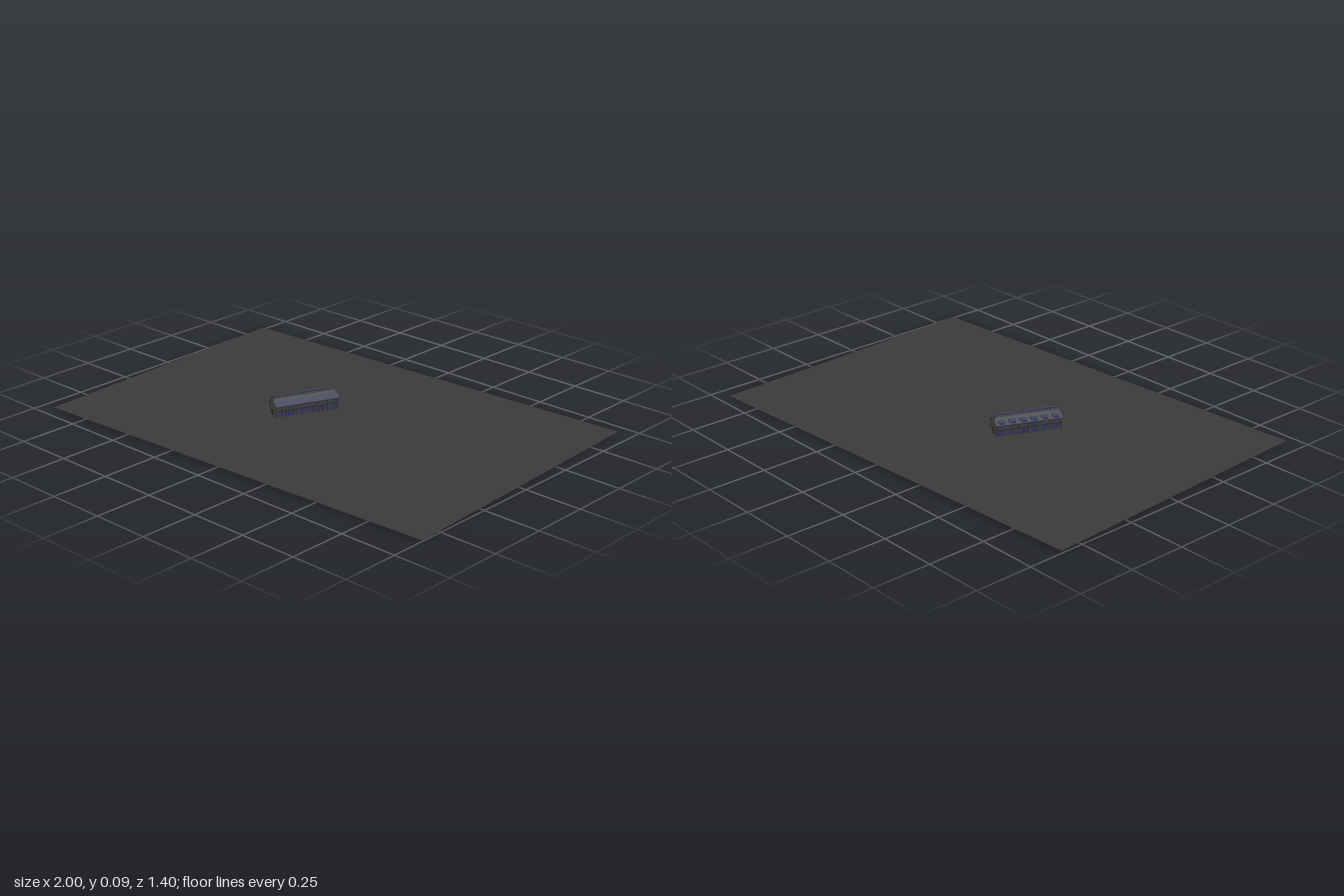
import * as THREE from 'three';

const mat = (name, color, side = THREE.FrontSide) => {
  const m = new THREE.MeshStandardMaterial({ color, side });
  m.name = name;
  return m;
};

export function createModel() {
  const asphalt = mat('asphalt', 0x3c3c3c, THREE.DoubleSide);
  const wall = mat('grey wall', 0x64675b);
  const darkWall = mat('dark wall', 0x3c3d3c);
  const slate = mat('slate roof', 0x42425a);
  const trim = mat('dark trim', 0x26262e);
  const glass = mat('window', 0x34345c);
  const floorGrey = mat('floor', 0xacacac);

  const model = new THREE.Group();
  model.name = 'hallOnGround';

  const add = (parent, name, geometry, material, x = 0, y = 0, z = 0) => {
    const mesh = new THREE.Mesh(geometry, material);
    mesh.name = name;
    mesh.position.set(x, y, z);
    parent.add(mesh);
    return mesh;
  };
  const box = (parent, name, size, material, x, y, z) =>
    add(parent, name, new THREE.BoxGeometry(...size), material, x, y, z);
  // Cross-section in x/y drawn out along z and centred
  const prism = (parent, name, points, length, material) => {
    const shape = new THREE.Shape(points.map(([x, y]) => new THREE.Vector2(x, y)));
    const g = new THREE.ExtrudeGeometry(shape, { depth: length, bevelEnabled: false });
    g.translate(0, 0, -length / 2);
    return add(parent, name, g, material);
  };

  // Ground: one thin sheet falling gently towards +x
  const sheet = new THREE.PlaneGeometry(1.933, 1.302, 8, 6);
  sheet.rotateX(-Math.PI / 2);
  const p = sheet.attributes.position;
  for (let i = 0; i < p.count; i++) p.setY(i, 0.006 - 0.003 * p.getX(i));
  sheet.computeVertexNormals();
  add(model, 'ground', sheet, asphalt).rotation.y = 0.052;

  // Long hall, turned on the ground
  const hall = new THREE.Group();
  hall.name = 'hall';
  hall.position.set(-0.153, 0, 0.005);
  hall.rotation.y = -0.42;
  model.add(hall);
  const L = 0.276;

  prism(hall, 'body', [[-0.038, 0.001], [0.038, 0.001], [0.038, 0.054],
    [0.013, 0.068], [-0.013, 0.068], [-0.038, 0.054]], L, [wall, darkWall]);
  box(hall, 'floor', [0.076, 0.002, L], floorGrey, 0, 0.001, 0);

  // Sloping roofs, eaves, windows and piers on both long sides
  for (const s of [-1, 1]) {
    const slope = [[0.043, 0.053], [0.043, 0.057], [0.013, 0.072], [0.013, 0.068]];
    const pts = slope.map(([x, y]) => [s * x, y]);
    prism(hall, 'roofSlope', pts, L + 0.006, slate);
    box(hall, 'eaves', [0.004, 0.004, L + 0.004], trim, s * 0.04, 0.052, 0);
    box(hall, 'sill', [0.003, 0.003, L], trim, s * 0.039, 0.034, 0);
    const bays = 6, step = L / bays;
    for (let i = 0; i < bays; i++) {
      const z = (i + 0.5) * step - L / 2;
      box(hall, 'window', [0.002, 0.022, step * 0.72], glass, s * 0.0385, 0.021, z);
      box(hall, 'windowBar', [0.003, 0.022, 0.002], trim, s * 0.0387, 0.021, z);
    }
    for (let i = 0; i <= bays; i++)
      box(hall, 'pier', [0.005, 0.05, 0.005], darkWall, s * 0.039, 0.026,
        (i * step - L / 2) * 0.985);
  }

  // Row of flat dormers on the -x slope
  for (let i = 0; i < 6; i++) {
    const z = (i - 2.5) * L / 6;
    box(hall, 'dormer', [0.02, 0.014, 0.03],
      [wall, wall, slate, trim, trim, trim], -0.03, 0.062, z);
    box(hall, 'dormerWindow', [0.002, 0.008, 0.022], glass, -0.0405, 0.063, z);
  }

  // Raised roof lantern along the ridge
  box(hall, 'lantern', [0.026, 0.016, L - 0.006],
    [wall, wall, slate, wall, wall, wall], 0, 0.075, 0);
  box(hall, 'lanternRoof', [0.03, 0.003, L], slate, 0, 0.0835, 0);
  box(hall, 'ridge', [0.005, 0.0015, L], trim, 0, 0.0853, 0);

  // Doors on both ends
  for (const s of [-1, 1])
    box(hall, 'endDoor', [0.022, 0.028, 0.003], darkWall, 0, 0.018, s * L / 2);

  return model;
}
